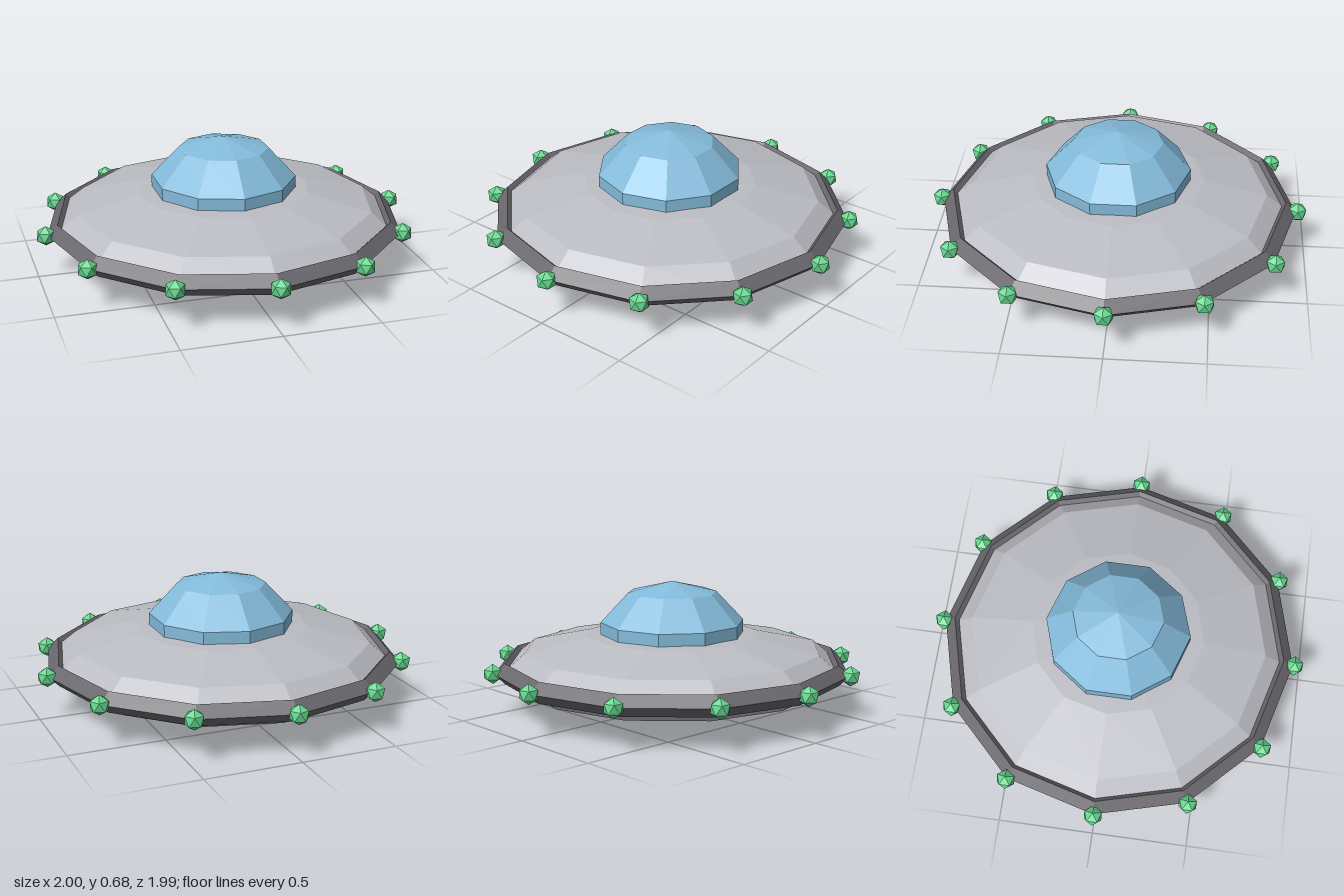
import * as THREE from 'three';

const makeMaterial = (name, color) => {
  const m = new THREE.MeshStandardMaterial({ color, flatShading: true });
  m.name = name;
  return m;
};

const MID = 0.22;      // height of the saucer's equator
const LIGHTS = 12;     // lamps around the rim, one per corner

export function createModel() {
  const group = new THREE.Group();
  group.name = 'flyingSaucer';

  const hullGrey = makeMaterial('hullGrey', 0xbcbcc4);
  const rimGrey = makeMaterial('rimGrey', 0x6a686d);
  const glassBlue = makeMaterial('glassBlue', 0x84bbdb);
  const glowGreen = makeMaterial('glowGreen', 0x66d68f);

  const add = (name, geometry, material, y, parent = group) => {
    const mesh = new THREE.Mesh(geometry, material);
    mesh.name = name;
    mesh.position.y = y;
    parent.add(mesh);
    return mesh;
  };

  // Flattened twelve-sided hull
  add('hull', new THREE.SphereGeometry(0.91, 12, 6).scale(1, 0.2 / 0.91, 1), hullGrey, MID);

  // Diamond-section rim around the equator
  add('rim', new THREE.TorusGeometry(0.89, 0.055, 4, 12).rotateX(Math.PI / 2), rimGrey, MID);

  // Ten-sided cockpit dome, its lower half sunk into the hull
  const dome = new THREE.SphereGeometry(0.4, 10, 5).scale(1, 0.775, 1).rotateY(Math.PI / 2);
  add('cockpitDome', dome, glassBlue, 0.365);

  // Eight-sided glowing emitter underneath
  add('beamEmitter', new THREE.CylinderGeometry(0.25, 0.25, 0.04, 8), glowGreen, 0.02);

  // Rim lamps: icosahedra turned to stand on a point
  const lamp = new THREE.IcosahedronGeometry(0.053, 0)
    .rotateZ(-Math.atan(2 / (1 + Math.sqrt(5))));
  const lamps = new THREE.Group();
  lamps.name = 'rimLamps';
  group.add(lamps);
  for (let i = 0; i < LIGHTS; i++) {
    const a = (i / LIGHTS) * Math.PI * 2;
    const mesh = add(`rimLamp${i + 1}`, lamp, glowGreen, MID + 0.003, lamps);
    mesh.position.x = Math.cos(a) * 0.952;
    mesh.position.z = Math.sin(a) * 0.952;
  }

  return group;
}
